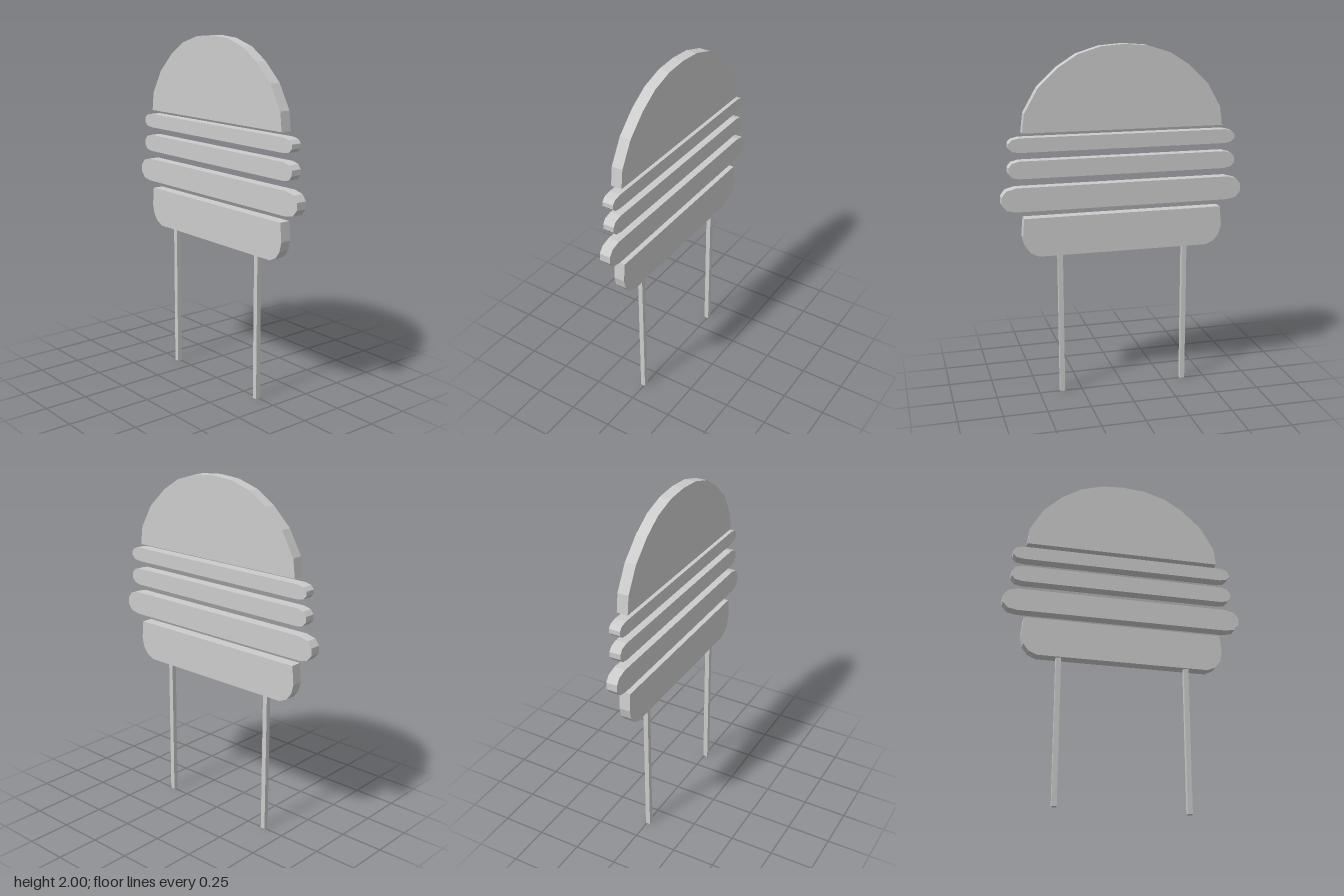
import * as THREE from 'three';

const DEPTH = 0.064;
const material = new THREE.MeshStandardMaterial({ color: 0xcccccc, flatShading: true });

// Flat slab, mirrored about x = 0, from its right-hand outline listed top to bottom
function slab(name, half) {
  const mirrored = half.filter(([x]) => x > 0).map(([x, y]) => [-x, y]).reverse();
  const shape = new THREE.Shape([...half, ...mirrored].map(([x, y]) => new THREE.Vector2(x, y)));
  const geometry = new THREE.ExtrudeGeometry(shape, { depth: DEPTH, bevelEnabled: false });
  geometry.translate(0, 0, -DEPTH / 2);
  const mesh = new THREE.Mesh(geometry, material);
  mesh.name = name;
  return mesh;
}

// Long filling layer with faceted round ends
function layer(name, bottom, top, halfWidth, endLength) {
  const h = top - bottom;
  const end = [[0, 1], [0.68, 0.89], [1, 0.64], [1, 0.33], [0.65, 0.08], [0, 0]];
  return slab(name, end.map(([u, v]) => [halfWidth - endLength * (1 - u), bottom + h * v]));
}

export function createModel() {
  const group = new THREE.Group();
  group.name = 'burgerSign';

  // Domed top bun
  group.add(slab('topBun', [
    [0, 2], [0.13, 1.99], [0.26, 1.95], [0.37, 1.88],
    [0.48, 1.775], [0.557, 1.64], [0.57, 1.535],
  ]));

  // Fillings
  group.add(layer('upperFilling', 1.43, 1.51, 0.647, 0.06));
  group.add(layer('middleFilling', 1.285, 1.383, 0.65, 0.062));
  group.add(layer('patty', 1.1, 1.235, 0.692, 0.082));

  // Bottom bun with rounded lower corners
  group.add(slab('bottomBun', [
    [0.57, 1.06], [0.58, 0.955], [0.567, 0.9], [0.537, 0.86], [0.49, 0.838],
  ]));

  // Square posts
  for (const side of [-1, 1]) {
    const post = new THREE.Mesh(new THREE.BoxGeometry(0.028, 0.838, 0.028), material);
    post.position.set(side * 0.366, 0.419, 0.007);
    post.name = side > 0 ? 'leftPost' : 'rightPost';
    group.add(post);
  }
  return group;
}
